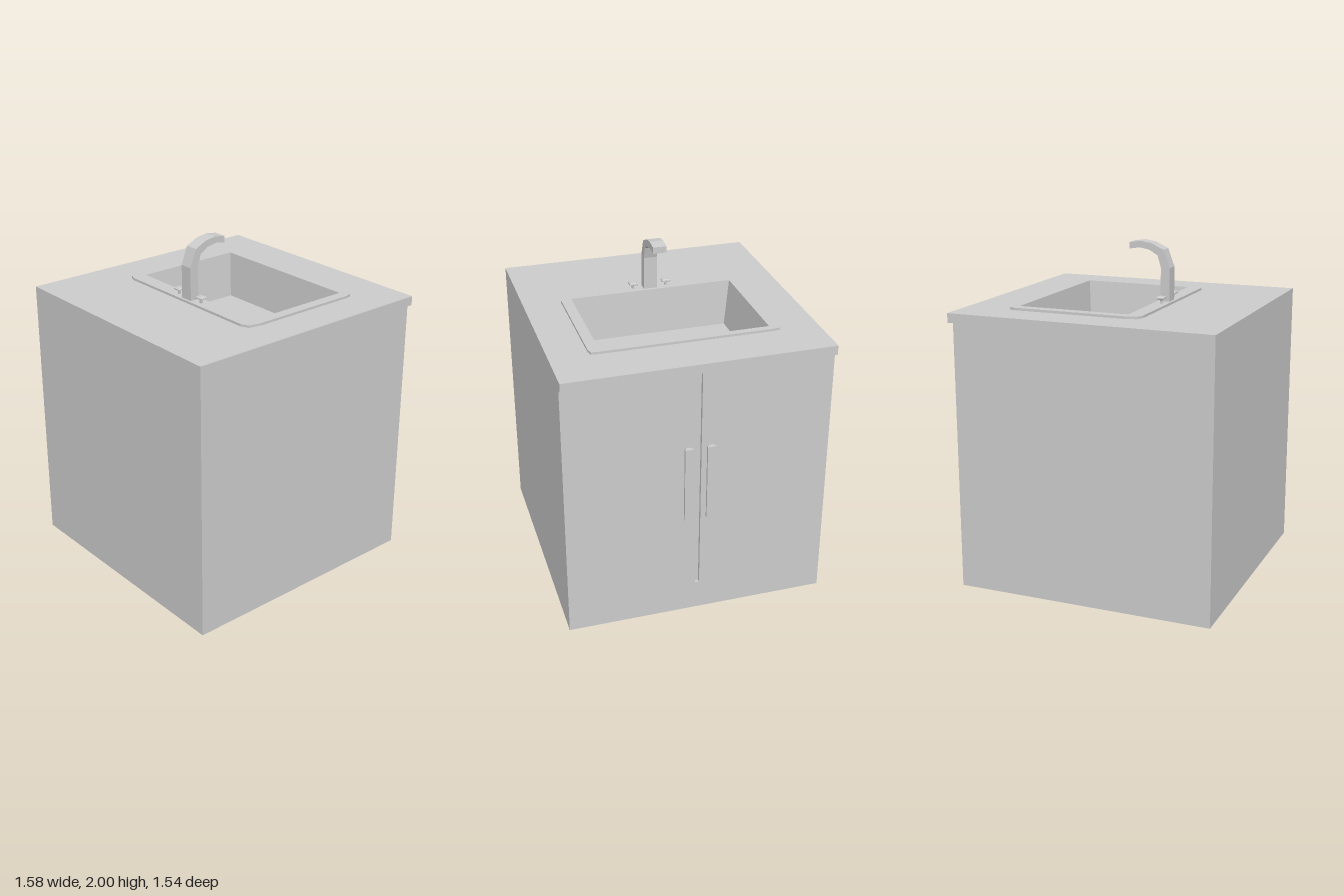
import * as THREE from 'three';

export function createModel() {
  const root = new THREE.Group();
  const grey = new THREE.MeshStandardMaterial({ color: 0xcccccc, flatShading: true });
  const greyDouble = new THREE.MeshStandardMaterial({ color: 0xcccccc, flatShading: true, side: THREE.DoubleSide });

  const add = (name, geometry, x = 0, y = 0, z = 0, material = grey, parent = root) => {
    const mesh = new THREE.Mesh(geometry, material);
    mesh.name = name;
    mesh.position.set(x, y, z);
    parent.add(mesh);
    return mesh;
  };
  const outline = (pts) => new THREE.Shape(pts.map(([x, y]) => new THREE.Vector2(x, y)));
  const rect = (x0, x1, y0, y1) => outline([[x0, y0], [x1, y0], [x1, y1], [x0, y1]]);
  const extrude = (shape, depth) => new THREE.ExtrudeGeometry(shape, { depth, bevelEnabled: false });
  const slab = (shape, depth) => extrude(shape, depth).rotateX(-Math.PI / 2); // plan shape, thickness up

  const W = 0.772; // half width along z
  const topY = 1.64, underY = 1.585;
  const opening = () => rect(-0.19, 0.48, -0.488, 0.488);

  // Cabinet carcass, open at the top so the basin can hang inside
  const carcass = new THREE.BoxGeometry(1.525, underY, 2 * W);
  const index = Array.from(carcass.index.array);
  index.splice(12, 6);
  carcass.setIndex(index);
  carcass.clearGroups();
  add('cabinet', carcass, -0.0275, underY / 2, 0, greyDouble);

  // Door front with the groove between the two doors
  const g = 0.0125;
  const doors = outline([[-W, 0], [W, 0], [W, underY], [g, underY], [g, 0.18], [-g, 0.18], [-g, underY], [-W, underY]]);
  add('doors', extrude(doors, 0.02).rotateY(Math.PI / 2), 0.735);

  // Handles: a bar on a narrower mount
  for (const side of [-1, 1]) {
    const handle = new THREE.Group();
    handle.name = side > 0 ? 'leftHandle' : 'rightHandle';
    handle.position.set(0.755, 0.883, side * 0.065);
    root.add(handle);
    add('handleMount', new THREE.BoxGeometry(0.012, 0.465, 0.03), 0.006, 0, 0, grey, handle);
    add('handleBar', new THREE.BoxGeometry(0.015, 0.465, 0.048), 0.0185, 0, 0, grey, handle);
  }

  // Countertop with the sink cut-out
  const counter = rect(-0.79, 0.79, -W, W);
  counter.holes.push(opening());
  add('countertop', slab(counter, topY - underY), 0, underY);

  // Sink rim with clipped corners
  const edge = [[-0.28, 0.49], [-0.26, 0.535], [-0.19, 0.55], [0.48, 0.55], [0.515, 0.54], [0.52, 0.49]];
  const rim = outline([...edge, ...edge.map(([x, y]) => [x, -y]).reverse()]);
  rim.holes.push(opening());
  add('sinkRim', slab(rim, 0.014), 0, topY);

  // Basin: tapered walls and a floor
  const rimY = topY + 0.014, depth = 0.275, taper = 0.93;
  const walls = new THREE.CylinderGeometry(Math.SQRT1_2, Math.SQRT1_2 * taper, depth, 4, 1, true, Math.PI / 4);
  add('basinWalls', walls.scale(0.67, 1, 0.976), 0.145, rimY - depth / 2, 0, greyDouble);
  const floor = new THREE.PlaneGeometry(0.67 * taper, 0.976 * taper).rotateX(-Math.PI / 2);
  add('basinFloor', floor, 0.145, rimY - depth, 0, greyDouble);

  // Faucet: flat curved spout
  const spout = outline([
    [-0.265, topY], [-0.21, topY], [-0.21, 1.85], [-0.19, 1.92], [-0.14, 1.95], [-0.08, 1.962], [-0.015, 1.952],
    [-0.015, 1.99], [-0.085, 2], [-0.15, 1.99], [-0.225, 1.955], [-0.265, 1.85],
  ]);
  add('faucet', extrude(spout, 0.08), 0, 0, -0.04);

  // Square-sided taps on thin stems
  const profile = [[0, 0], [0.017, 0], [0.01, 0.012], [0.01, 0.032], [0.035, 0.04], [0.035, 0.048], [0.022, 0.055], [0, 0.055]]
    .map(([r, y]) => new THREE.Vector2(r, y));
  for (const side of [-1, 1]) {
    const tap = new THREE.LatheGeometry(profile, 4, Math.PI / 4).scale(0.9, 1, 1);
    add(side > 0 ? 'leftTap' : 'rightTap', tap, -0.237, topY, side * 0.1);
  }
  return root;
}
